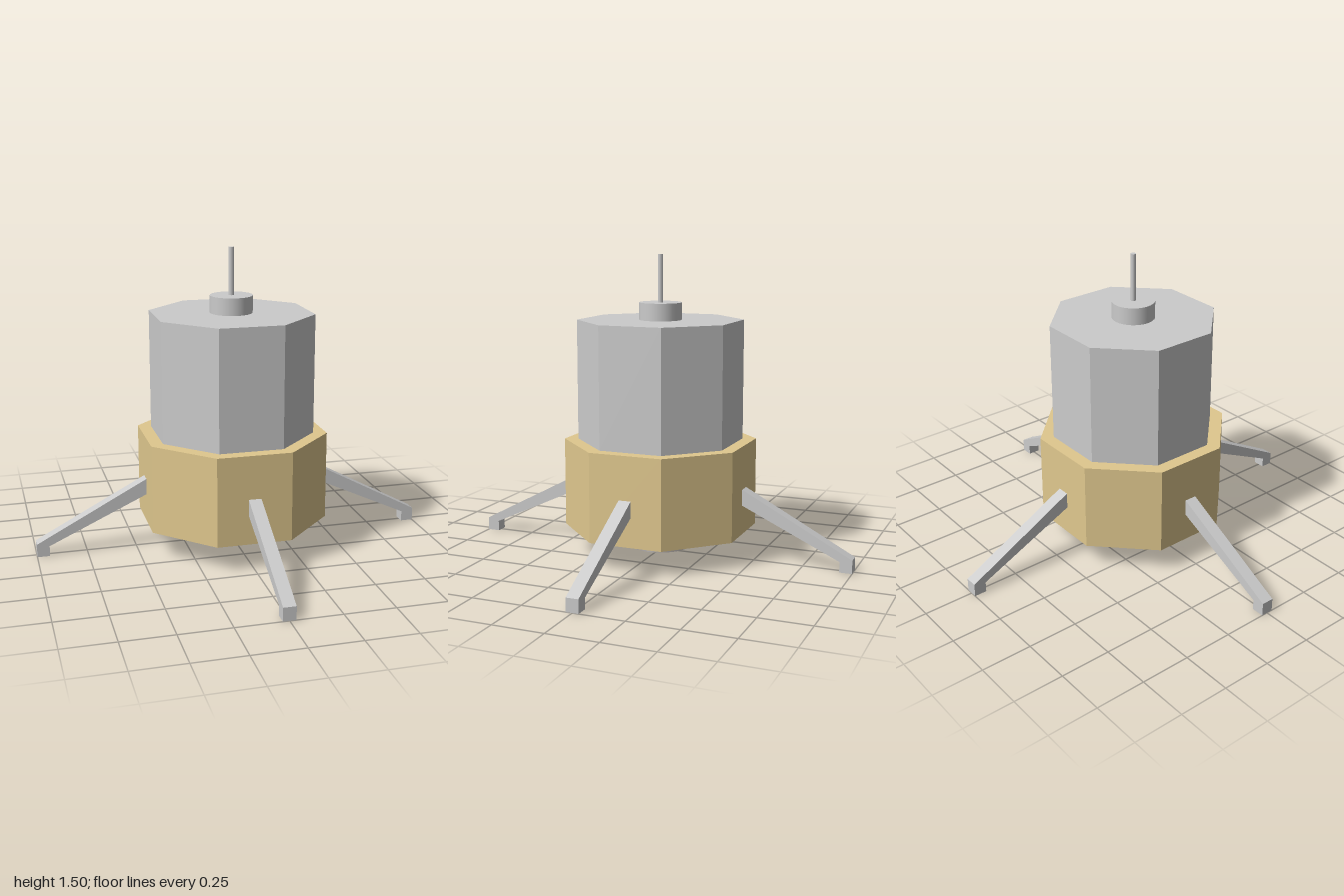
import * as THREE from 'three';

const material = (color, flatShading = false) => new THREE.MeshStandardMaterial({ color, flatShading });

export function createModel() {
  const model = new THREE.Group();
  model.name = 'lander';
  const grey = material(0xcccccc);
  const greyFlat = material(0xcccccc, true);
  const gold = material(0xe0c88e, true);
  const dark = material(0x85807d);

  // upright solid between two heights, given its bottom and top radius
  const column = (name, rBottom, rTop, y0, y1, sides, mat, turn = 0) => {
    const geometry = new THREE.CylinderGeometry(rTop, rBottom, y1 - y0, sides);
    geometry.rotateY(turn);
    geometry.translate(0, (y0 + y1) / 2, 0);
    const mesh = new THREE.Mesh(geometry, mat);
    mesh.name = name;
    model.add(mesh);
  };

  // octagons are sized across their flats, with a flat facing front
  const octagon = (name, halfWidth, y0, y1, mat) => {
    const r = halfWidth / Math.cos(Math.PI / 8);
    column(name, r, r, y0, y1, 8, mat, Math.PI / 8);
  };

  octagon('descentStage', 0.446, 0.133, 0.577, gold);
  octagon('ascentStage', 0.383, 0.577, 1.178, greyFlat);
  column('dockingRing', 0.106, 0.106, 1.178, 1.264, 32, grey);
  column('antenna', 0.013, 0.013, 1.264, 1.5, 8, grey);

  // engine bell, its tip hidden inside the descent stage
  column('engineBell', 0.156, 0, 0.026, 0.19, 32, dark);

  // leg with a bent foot: side outline extruded across its width
  const outline = new THREE.Shape([
    [0.42, 0.374], [0.42, 0.292], [0.938, 0.052], [0.938, 0], [1, 0], [1, 0.066],
  ].map(([x, y]) => new THREE.Vector2(x, y)));
  const width = 0.062;
  const legGeometry = new THREE.ExtrudeGeometry(outline, { depth: width, bevelEnabled: false });
  legGeometry.translate(0, 0, -width / 2);

  ['leftLeg', 'backLeg', 'rightLeg', 'frontLeg'].forEach((name, i) => {
    const leg = new THREE.Mesh(legGeometry, greyFlat);
    leg.name = name;
    leg.rotation.y = (i * Math.PI) / 2;
    model.add(leg);
  });

  return model;
}
